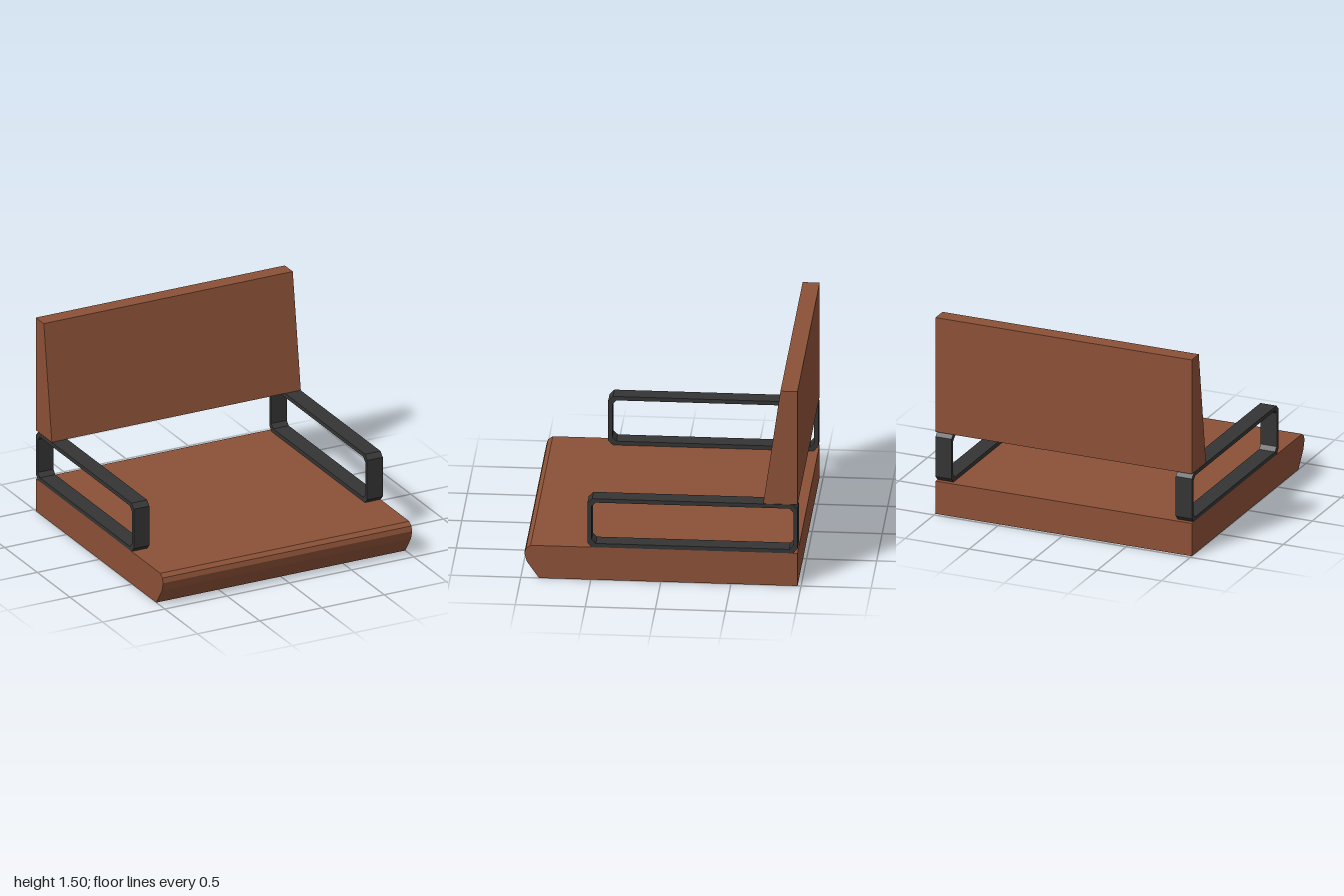
import * as THREE from 'three';

const leather = new THREE.MeshStandardMaterial({ name: 'brownLeather', color: 0x8b5036 });
const metal = new THREE.MeshStandardMaterial({ name: 'darkMetal', color: 0x343434 });

// Side profile given as [z, y] points, extruded along x and centred on x
function sideExtrude(name, points, width, material, hole) {
  const toVectors = (list) => list.map(([z, y]) => new THREE.Vector2(z, y));
  const shape = new THREE.Shape(toVectors(points));
  if (hole) shape.holes.push(new THREE.Path(toVectors(hole)));
  const geometry = new THREE.ExtrudeGeometry(shape, { depth: width, bevelEnabled: false });
  geometry.translate(0, 0, -width / 2).rotateY(-Math.PI / 2);
  const mesh = new THREE.Mesh(geometry, material);
  mesh.name = name;
  return mesh;
}

// Rectangle with chamfered corners
function chamferedRect(z0, z1, y0, y1, c) {
  return [
    [z0 + c, y0], [z1 - c, y0], [z1, y0 + c], [z1, y1 - c],
    [z1 - c, y1], [z0 + c, y1], [z0, y1 - c], [z0, y0 + c],
  ];
}

export function createModel() {
  const group = new THREE.Group();
  group.name = 'chair';

  // Seat cushion with a rounded, undercut front edge
  group.add(sideExtrude('seat', [
    [-0.975, 0], [0.87, 0], [0.957, 0.125], [0.975, 0.19],
    [0.963, 0.226], [0.93, 0.25], [-0.975, 0.25],
  ], 2, leather));

  // Backrest, tapering towards the top
  group.add(sideExtrude('backrest', [
    [-0.975, 0.627], [-0.73, 0.627], [-0.853, 1.5], [-0.975, 1.5],
  ], 2, leather));

  // Armrest loops
  for (const [name, side] of [['leftArmrest', 1], ['rightArmrest', -1]]) {
    const arm = sideExtrude(name,
      chamferedRect(-0.975, 0.525, 0.25, 0.625, 0.035), 0.125, metal,
      chamferedRect(-0.945, 0.495, 0.28, 0.595, 0.03));
    arm.position.x = side * 0.9375;
    group.add(arm);
  }
  return group;
}
